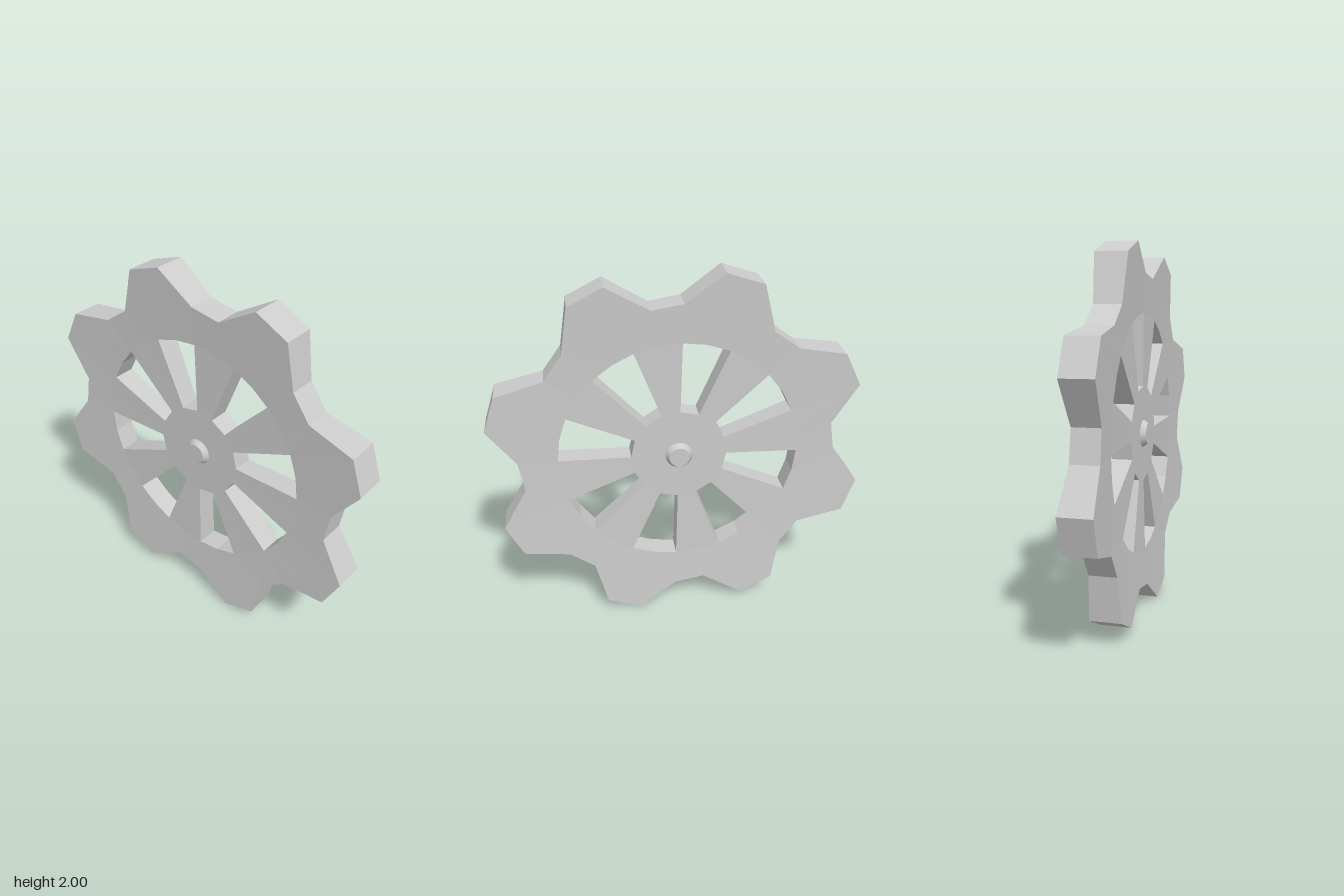
import * as THREE from 'three';

const SECTORS = 32;                       // four sectors per lobe, eight lobes
const TWIST = THREE.MathUtils.degToRad(1.6);
// per-lobe cycle: valley, tip, tip, valley
const RIM_R = [0.853, 1.025, 1.025, 0.838];
const RIM_Z = [0.073, 0.085, 0.085, 0.072];
const HUB_R = [0.258, 0.253, 0.258, 0.258];

// point on a ring: 0 centre, 1 hub edge, 2 window top, 3 rim; side is +1 front, -1 back
function point(ring, k, side) {
  const c = k % 4;
  const r = [0, HUB_R[c], 0.645, RIM_R[c]][ring];
  const z = [0.055, 0.055, 0.061, RIM_Z[c]][ring];
  const a = TWIST + (k % SECTORS) * Math.PI * 2 / SECTORS;
  return [r * Math.cos(a), r * Math.sin(a), side * z];
}

function wheelGeometry() {
  const pos = [];
  const tri = (a, b, c) => pos.push(...a, ...b, ...c);
  const quad = (a, b, c, d) => { tri(a, b, c); tri(a, c, d); };
  // wall through the thickness, facing right of the direction p -> q
  const wall = (r0, k0, r1, k1) =>
    quad(point(r0, k0, 1), point(r0, k0, -1), point(r1, k1, -1), point(r1, k1, 1));

  for (let k = 0; k < SECTORS; k++) {
    const isWindow = k % 4 < 2;
    // front and back faces
    for (const side of [1, -1]) {
      const [a, b] = side > 0 ? [k, k + 1] : [k + 1, k];
      tri(point(0, a, side), point(1, a, side), point(1, b, side));
      for (const ring of isWindow ? [2] : [1, 2])
        quad(point(ring, a, side), point(ring + 1, a, side),
          point(ring + 1, b, side), point(ring, b, side));
    }
    // outer rim
    wall(3, k, 3, k + 1);
    // window walls
    if (isWindow) {
      wall(1, k, 1, k + 1);
      wall(2, k + 1, 2, k);
      if (k % 4 === 0) wall(2, k, 1, k);
      else wall(1, k + 1, 2, k + 1);
    }
  }
  const g = new THREE.BufferGeometry();
  g.setAttribute('position', new THREE.Float32BufferAttribute(pos, 3));
  g.computeVertexNormals();
  return g;
}

export function createModel() {
  const model = new THREE.Group();
  model.name = 'handwheel';

  // lobed wheel with eight windows
  const wheel = new THREE.Mesh(wheelGeometry(),
    new THREE.MeshStandardMaterial({ color: 0xcccccc, flatShading: true }));
  wheel.name = 'lobedWheel';
  wheel.position.y = 1;
  model.add(wheel);

  // chamfered hub button on each face
  const hubMaterial = new THREE.MeshStandardMaterial({ color: 0xcccccc });
  for (const side of [1, -1]) {
    const hub = new THREE.Mesh(
      new THREE.CylinderGeometry(0.055, 0.075, 0.03, 24), hubMaterial);
    hub.name = side > 0 ? 'frontHub' : 'backHub';
    hub.rotation.x = side * Math.PI / 2;
    hub.position.set(0, 1, side * 0.068);
    model.add(hub);
  }
  return model;
}
